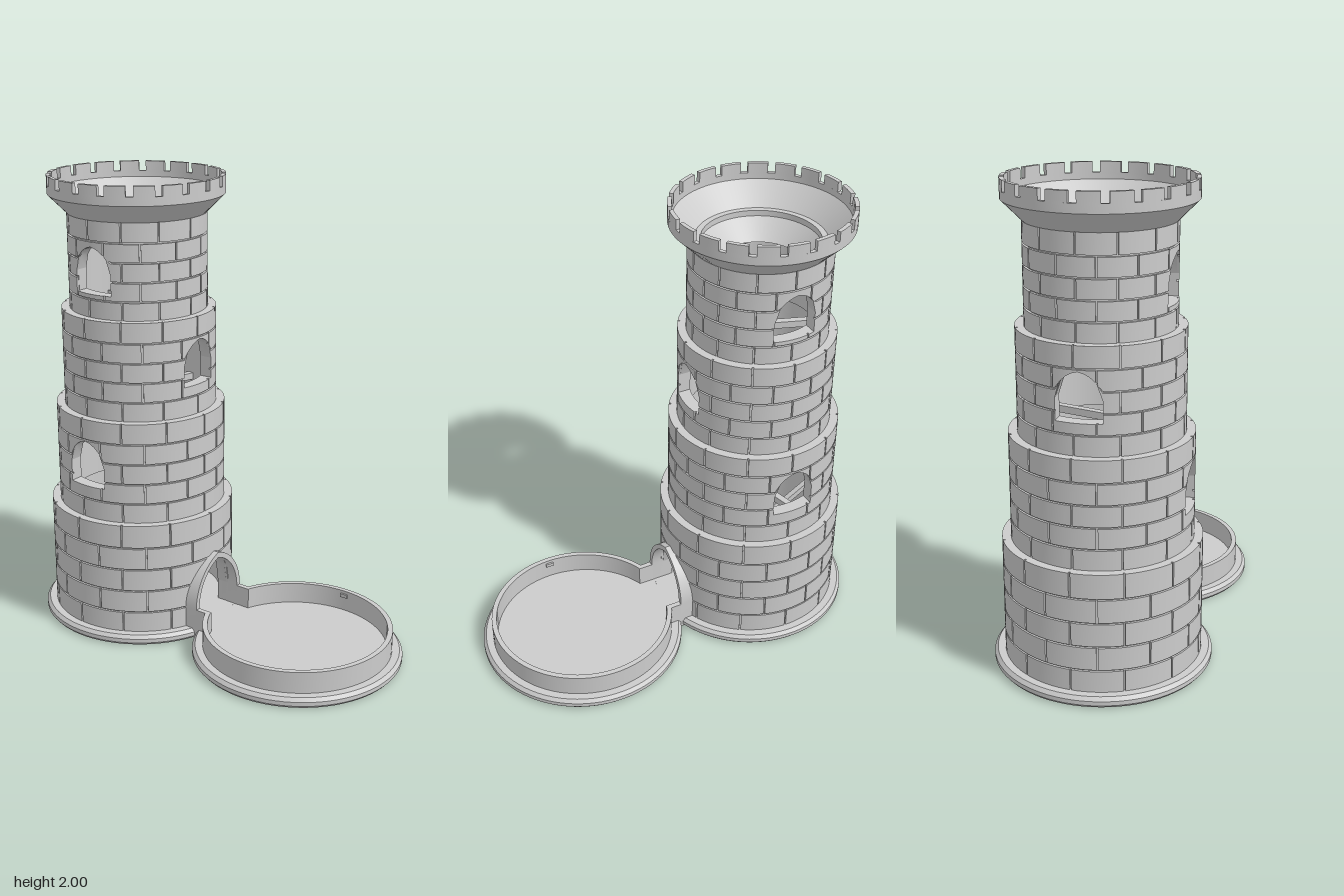
import * as THREE from 'three';
import { toCreasedNormals } from 'three/addons/utils/BufferGeometryUtils.js';

const CX = 0.43; // distance of tower and tray centres from the middle
const material = new THREE.MeshStandardMaterial({ color: 0xcccccc });
const TAU = Math.PI * 2;

function addMesh(parent, name, geometry, crease = 0.5) {
  const mesh = new THREE.Mesh(toCreasedNormals(geometry, crease), material);
  mesh.name = name;
  parent.add(mesh);
  return mesh;
}

// Height of a pointed arch above its spring line at lateral offset s
function archRise(s, w, h) {
  const c = (h * h - w * w) / (2 * w);
  return Math.sqrt(Math.max(0, (w + c) ** 2 - (Math.abs(s) + c) ** 2));
}

// Signed angle from the nearest opening
function nearest(a, opening) {
  let best = Infinity;
  for (const dir of opening.dirs) {
    const d = THREE.MathUtils.euclideanModulo(a - dir + Math.PI, TAU) - Math.PI;
    if (Math.abs(d) < Math.abs(best)) best = d;
  }
  return best;
}

// Keeps the sides of an opening parallel through the wall thickness
function warp(a, r, R, opening) {
  if (!opening) return a;
  const d = nearest(a, opening), m = Math.abs(d), limit = 0.8;
  if (m >= limit) return a;
  const e = Math.asin(opening.w / R), E = Math.asin(opening.w / r);
  const t = m <= e ? Math.asin(R * Math.sin(m) / r) : E + (m - e) * (limit - E) / (limit - e);
  return a - d + Math.sign(d) * t;
}

// Curved block between two angles, two radii and two height functions
function slab(out, a0, a1, lo, hi, rIn, rOut, R = rOut, opening = null) {
  const n = Math.max(1, Math.ceil((a1 - a0) / 0.07));
  const p = (a, y, r) => {
    const t = warp(a, r, R, opening);
    return [r * Math.cos(t), y, r * Math.sin(t)];
  };
  const quad = (A, B, C, D) => out.push(...A, ...B, ...C, ...A, ...C, ...D);
  const corners = (a) => {
    const l = lo(a), h = Math.max(l, hi(a));
    return { il: p(a, l, rIn), ol: p(a, l, rOut), oh: p(a, h, rOut), ih: p(a, h, rIn), size: h - l };
  };
  for (let i = 0; i < n; i++) {
    const s = corners(a0 + (a1 - a0) * i / n), e = corners(a0 + (a1 - a0) * (i + 1) / n);
    if (s.size + e.size < 1e-5) continue;
    quad(e.ol, s.ol, s.oh, e.oh);
    quad(s.il, e.il, e.ih, s.ih);
    quad(s.ih, e.ih, e.oh, s.oh);
    quad(s.ol, e.ol, e.il, s.il);
    if (i === 0 && s.size > 1e-5) quad(s.ih, s.oh, s.ol, s.il);
    if (i === n - 1 && e.size > 1e-5) quad(e.il, e.ol, e.oh, e.ih);
  }
}

// Block of wall, cut where it meets an arched opening
function wall(out, a0, a1, y0, y1, rIn, rOut, R, opening) {
  const e = Math.asin(opening.w / R), cuts = [a0, a1];
  for (const dir of opening.dirs)
    for (const k of [-TAU, 0, TAU])
      for (const d of [-e, 0, e])
        if (dir + d + k > a0 + 1e-4 && dir + d + k < a1 - 1e-4) cuts.push(dir + d + k);
  cuts.sort((a, b) => a - b);
  const bottom = () => y0, top = () => y1;
  const arch = (a) => Math.max(y0, opening.spring
    + archRise(R * Math.sin(nearest(a, opening)), opening.w, opening.apex - opening.spring));
  for (let i = 0; i + 1 < cuts.length; i++) {
    const b0 = cuts[i], b1 = cuts[i + 1];
    if (Math.abs(nearest((b0 + b1) / 2, opening)) > e) {
      slab(out, b0, b1, bottom, top, rIn, rOut, R, opening);
    } else {
      slab(out, b0, b1, bottom, () => Math.min(y1, opening.sill), rIn, rOut, R, opening);
      slab(out, b0, b1, arch, top, rIn, rOut, R, opening);
    }
  }
}

function fromTriangles(numbers) {
  const g = new THREE.BufferGeometry();
  g.setAttribute('position', new THREE.Float32BufferAttribute(numbers, 3));
  return g;
}

function lathe(points, segments = 80) {
  return new THREE.LatheGeometry(points.map(([x, y]) => new THREE.Vector2(x, y)), segments);
}

const baseProfile = [[0, 0], [0.445, 0], [0.455, 0.012], [0.455, 0.03], [0.442, 0.045], [0, 0.045]];

// Straight square bar between two points
function addBar(parent, name, from, to, size = 0.03) {
  const a = new THREE.Vector3(...from), b = new THREE.Vector3(...to);
  const bar = addMesh(parent, name, new THREE.BoxGeometry(size, size, a.distanceTo(b)));
  bar.position.copy(a).add(b).multiplyScalar(0.5);
  bar.lookAt(b);
}

function createTower() {
  const tower = new THREE.Group();
  tower.name = 'tower';
  addMesh(tower, 'towerBase', lathe(baseProfile));

  // Four stepped storeys with raised, staggered bricks
  const sides = [0], ends = [Math.PI / 2, -Math.PI / 2];
  const tiers = [
    { R: 0.41, y0: 0.04, y1: 0.55, opening: { dirs: sides, w: 0.14, sill: 0.04, spring: 0.14, apex: 0.335 } },
    { R: 0.374, y0: 0.55, y1: 1.0, opening: { dirs: ends, w: 0.093, sill: 0.695, spring: 0.79, apex: 0.9 } },
    { R: 0.337, y0: 1.0, y1: 1.43, opening: { dirs: [0, Math.PI], w: 0.093, sill: 1.13, spring: 1.22, apex: 1.33 } },
    { R: 0.301, y0: 1.43, y1: 1.84, opening: { dirs: ends, w: 0.093, sill: 1.53, spring: 1.62, apex: 1.73 } },
  ];
  const courses = 5, perCourse = 12, gap = 0.007, depth = 0.01;
  tiers.forEach(({ R, y0, y1, opening }, index) => {
    const core = [], bricks = [];
    wall(core, 0, TAU, y0, y1, R - 0.055, R - depth, R, opening);
    const h = (y1 - y0) / courses, step = TAU / perCourse;
    for (let c = 0; c < courses; c++)
      for (let b = 0; b < perCourse; b++) {
        const start = (b + (c % 2) / 2 + 0.12) * step;
        wall(bricks, start, start + step - gap / R, y0 + c * h,
          y0 + (c + 1) * h - (c < courses - 1 ? gap : 0), R - depth - 0.002, R, R, opening);
      }
    addMesh(tower, 'storeyWall' + (index + 1), fromTriangles(core));
    addMesh(tower, 'storeyBricks' + (index + 1), fromTriangles(bricks));
  });

  // Flared crown with the funnel inside it
  addMesh(tower, 'crownFunnel', lathe([[0.165, 1.735], [0.28, 1.735], [0.28, 1.84], [0.3, 1.84], [0.38, 1.92],
    [0.38, 1.957], [0.362, 1.957], [0.362, 1.93], [0.165, 1.735]]));
  const merlons = [], count = 20;
  for (let i = 0; i < count; i++) {
    const a = (i + 0.13) / count * TAU;
    slab(merlons, a, a + 0.74 / count * TAU, () => 1.955, () => 2, 0.362, 0.38);
  }
  addMesh(tower, 'battlements', fromTriangles(merlons));

  // Crossing bars inside the shaft
  const level = [[0.33, 1.43, 0.27], [1.83, 1.05, 0.3], [1.31, 0.6, 0.33]];
  for (const [a, y, r] of level)
    addBar(tower, 'crossBar', [r * Math.cos(a), y, r * Math.sin(a)], [-r * Math.cos(a), y, -r * Math.sin(a)]);
  addBar(tower, 'slopedBar', [-0.37, 0.5, 0], [0.3, 0.1, 0], 0.026);
  addBar(tower, 'tiltedBar', [-0.08, 0.11, 0.35], [-0.08, 0.29, -0.35]);
  return tower;
}

// Pointed porch joining the doorway to the tray
function addPorch(group) {
  const contour = (w, h) => Array.from({ length: 33 }, (_, i) => {
    const s = -w * Math.cos(Math.PI * i / 32);
    return new THREE.Vector2(s, 0.14 + archRise(s, w, h));
  });
  const shape = new THREE.Shape([
    new THREE.Vector2(-0.163, 0.03), ...contour(0.163, 0.22), new THREE.Vector2(0.163, 0.03),
    new THREE.Vector2(0.14, 0.03), ...contour(0.14, 0.195).reverse(), new THREE.Vector2(-0.14, 0.03),
  ]);
  const geometry = new THREE.ExtrudeGeometry(shape, { depth: 0.085, bevelEnabled: false });
  geometry.rotateY(Math.PI / 2);
  addMesh(group, 'doorArch', geometry).position.x = -0.08;
  addMesh(group, 'doorSill', new THREE.BoxGeometry(0.2, 0.044, 0.326)).position.y = 0.0225;
  for (const side of [-1, 1])
    addMesh(group, 'channelWall', new THREE.BoxGeometry(0.07, 0.11, 0.023)).position.set(0.035, 0.085, side * 0.1515);
}

function createTray() {
  const tray = new THREE.Group();
  tray.name = 'tray';
  addMesh(tray, 'trayBase', lathe(baseProfile));
  const rim = [], half = Math.asin(0.15 / 0.41);
  slab(rim, -Math.PI + half, Math.PI - half, () => 0.03, () => 0.14, 0.388, 0.41);
  addMesh(tray, 'trayRim', fromTriangles(rim));
  // Small catches on the inner side of the rim
  for (const side of [-1, 1])
    addMesh(tray, 'rimCatch', new THREE.BoxGeometry(0.036, 0.016, 0.014)).position.set(0, 0.118, side * 0.386);
  return tray;
}

export function createModel() {
  const model = new THREE.Group();
  model.name = 'towerWithTray';
  const tower = createTower(), tray = createTray();
  tower.position.x = -CX;
  tray.position.x = CX;
  model.add(tower, tray);
  addPorch(model);
  return model;
}
